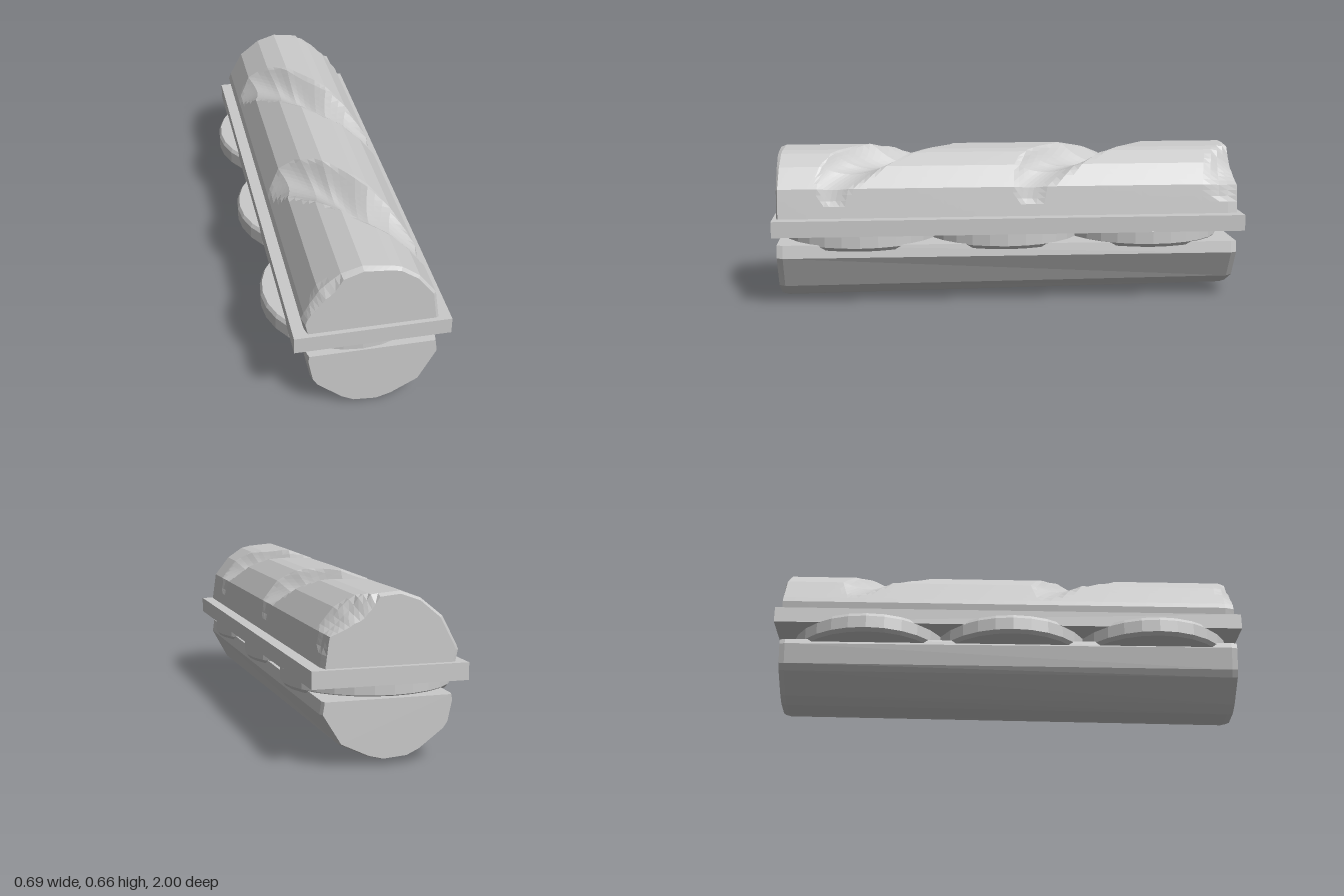
import * as THREE from 'three';

const grey = new THREE.MeshStandardMaterial({ color: 0xcacaca });
grey.name = 'plain grey';
grey.flatShading = true;

// half-loaf outlines, going over the curved side; the flat cut face closes them
const TOP = [[0.292, 0.382], [0.275, 0.505], [0.21, 0.59], [0.14, 0.638], [0.1, 0.648],
  [-0.01, 0.658], [-0.09, 0.63], [-0.175, 0.56], [-0.23, 0.455], [-0.24, 0.43], [-0.23, 0.382]];
const BOTTOM = [[-0.222, 0.27], [-0.226, 0.245], [-0.208, 0.15], [-0.19, 0.12], [-0.09, 0.036], [-0.04, 0.01],
  [0.055, 0.002], [0.115, 0.02], [0.225, 0.08], [0.298, 0.215], [0.29, 0.27]];

// add evenly spaced points along each straight side of an outline
function subdivide(points, step) {
  const out = [];
  for (let i = 0; i < points.length - 1; i++) {
    const [a, b] = [points[i], points[i + 1]];
    const n = Math.max(1, Math.round(Math.hypot(b[0] - a[0], b[1] - a[1]) / step));
    for (let k = 0; k < n; k++) out.push([a[0] + (b[0] - a[0]) * k / n, a[1] + (b[1] - a[1]) * k / n]);
  }
  out.push(points[points.length - 1]);
  return out;
}

// sweep an outline through stations from front to back; shape(x, y, z, station) returns the moved point
function sweep(outline, stations, shape) {
  const pos = [], idx = [], n = outline.length, last = stations.length - 1;
  stations.forEach((z, s) => outline.forEach(([x, y]) => pos.push(...shape(x, y, z, s))));
  for (let s = 0; s < last; s++) {
    for (let i = 0; i < n; i++) {
      const j = (i + 1) % n, a = s * n + i, b = s * n + j, c = a + n, d = b + n;
      idx.push(a, c, b, b, c, d);
    }
  }
  // end faces: counter-clockwise at the front, reversed at the back
  for (const s of [0, last]) {
    const ring = [];
    for (let i = 0; i < n; i++) ring.push(new THREE.Vector2(pos[(s * n + i) * 3], pos[(s * n + i) * 3 + 1]));
    for (const [a, b, c] of THREE.ShapeUtils.triangulateShape(ring, [])) {
      idx.push(s * n + a, s * n + (s ? c : b), s * n + (s ? b : c));
    }
  }
  const geo = new THREE.BufferGeometry();
  geo.setAttribute('position', new THREE.Float32BufferAttribute(pos, 3));
  geo.setIndex(idx);
  const flat = geo.toNonIndexed();
  flat.computeVertexNormals();
  return flat;
}

// depth of the diagonal slashes at a point of the crust
function slashDepth(x, z) {
  let depth = 0;
  for (const centre of [-1.2, -0.37, 0.46, 1.29]) {
    const dx = x - 0.035, dz = z - centre;
    const u = (dx * 0.57 + dz * 0.82) / 0.42, v = (dx * 0.82 - dz * 0.57) / 0.11;
    depth = Math.max(depth, 0.095 * (1 - u * u - v * v));
  }
  return depth;
}

function topLoaf() {
  const stations = [];
  for (let i = 0; i <= 90; i++) stations.push(0.982 - 1.96 * i / 90);
  return sweep(subdivide(TOP, 0.025), stations, (x, y, z0, s) => {
    const cx = 0.03, cy = 0.382, end = s === 0 || s === 90;
    // slant the mesh along the slashes, straightening it towards the ends
    const slant = end ? 0 : Math.min(1, (0.982 - Math.abs(z0)) / 0.5);
    const z = z0 + 1.44 * (x - cx) * slant;
    const r = Math.hypot(x - cx, y - cy);
    const k = (r - (y > 0.45 ? slashDepth(x, z) : 0) - (end ? 0.01 : 0)) / r;
    return [cx + (x - cx) * k, cy + (y - cy) * k, z];
  });
}

function bottomLoaf() {
  return sweep(BOTTOM, [0.985, 0.96, -0.955, -0.978], (x, y, z, s) => {
    const k = s === 0 || s === 3 ? 0.975 : 1;
    // the loaf gets slightly thinner towards the back
    const t = (0.985 - z) / 1.96;
    const top = 0.27 - 0.012 * t, low = 0.02 * t;
    return [0.035 + (x - 0.035) * k, top - (top - low) * (1 - y / 0.27) * k, z];
  });
}

export function createModel() {
  const model = new THREE.Group();
  model.name = 'sandwich';
  const add = (name, geo, x = 0, y = 0, z = 0) => {
    const mesh = new THREE.Mesh(geo, grey);
    mesh.name = name;
    mesh.position.set(x, y, z);
    model.add(mesh);
  };

  add('topLoaf', topLoaf());
  add('bottomLoaf', bottomLoaf());

  // flat slab under the top loaf
  add('slab', new THREE.BoxGeometry(0.618, 0.068, 2), 0.032, 0.347, 0);

  // three round slices with bevelled rims
  const profile = [[0, 0.247], [0.33, 0.247], [0.342, 0.262], [0.342, 0.315], [0.333, 0.331], [0, 0.331]]
    .map(([x, y]) => new THREE.Vector2(x, y));
  [[-0.003, 0.635], [-0.003, 0.015], [0, -0.605]].forEach(([x, z], i) =>
    add('slice' + (i + 1), new THREE.LatheGeometry(profile, 28), x, 0, z));

  return model;
}
